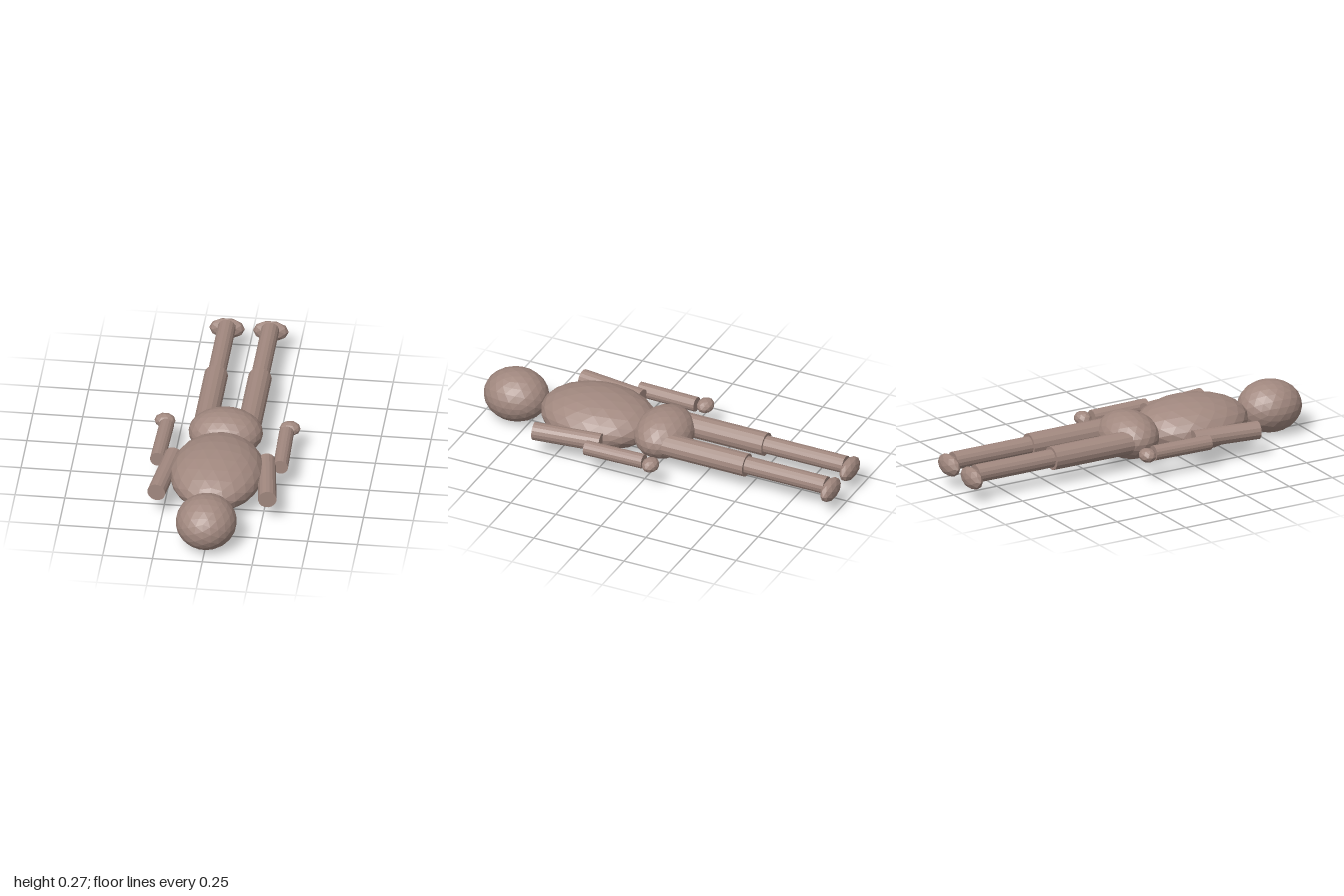
import * as THREE from 'three';

export function createModel() {
  const group = new THREE.Group();
  group.name = 'lyingFigure';
  const skin = new THREE.MeshStandardMaterial({ color: 0xa1887f, flatShading: true });
  skin.name = 'skin';

  function add(name, geometry) {
    const mesh = new THREE.Mesh(geometry, skin);
    mesh.name = name;
    group.add(mesh);
    return mesh;
  }

  // Faceted ellipsoid given by its centre and three radii
  function ellipsoid(name, centre, radii, detail) {
    const mesh = add(name, new THREE.IcosahedronGeometry(1, detail).scale(...radii));
    mesh.position.set(...centre);
  }

  // Straight limb between two points
  function limb(name, from, to, radius) {
    const a = new THREE.Vector3(...from);
    const b = new THREE.Vector3(...to);
    const mesh = add(name, new THREE.CylinderGeometry(radius, radius, a.distanceTo(b), 16));
    mesh.position.copy(a).add(b).multiplyScalar(0.5);
    mesh.quaternion.setFromUnitVectors(new THREE.Vector3(0, 1, 0), b.sub(a).normalize());
  }

  // Head and body, lying with the head towards +z
  ellipsoid('head', [0, 0.135, 0.833], [0.153, 0.133, 0.167], 3);
  ellipsoid('torso', [0, 0.135, 0.375], [0.235, 0.133, 0.305], 3);
  ellipsoid('pelvis', [0, 0.138, 0.01], [0.187, 0.118, 0.147], 3);

  // Arms and legs, mirrored
  for (const [side, s] of [['left', 1], ['right', -1]]) {
    limb(side + 'UpperArm', [s * 0.279, 0.136, 0.6], [s * 0.234, 0.136, 0.25], 0.046);
    limb(side + 'Forearm', [s * 0.309, 0.136, 0.298], [s * 0.301, 0.136, -0.02], 0.038);
    ellipsoid(side + 'Hand', [s * 0.314, 0.136, -0.063], [0.053, 0.036, 0.043], 1);
    limb(side + 'Thigh', [s * 0.11, 0.138, 0], [s * 0.11, 0.138, -0.5], 0.06);
    limb(side + 'Shin', [s * 0.109, 0.138, -0.48], [s * 0.109, 0.138, -0.94], 0.046);
    ellipsoid(side + 'Foot', [s * 0.11, 0.12, -0.962], [0.09, 0.056, 0.038], 1);
  }
  return group;
}
